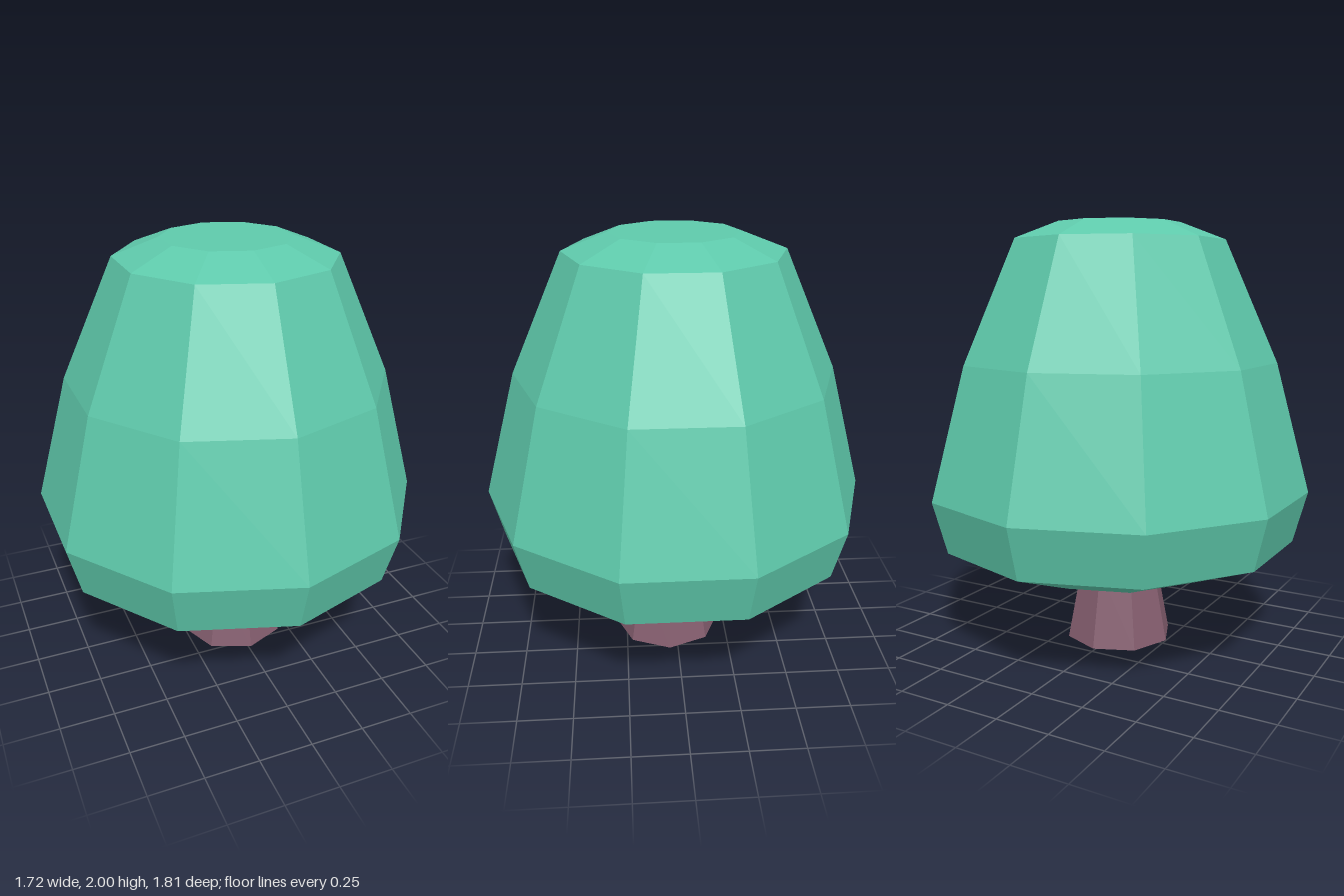
import * as THREE from 'three';

// Faceted solid of revolution from [radius, y] pairs listed bottom to top
function facetedLathe(name, profile, sides, material) {
  const points = profile.map(([r, y]) => new THREE.Vector2(r, y));
  const mesh = new THREE.Mesh(new THREE.LatheGeometry(points, sides), material);
  mesh.name = name;
  return mesh;
}

export function createModel() {
  const leafGreen = new THREE.MeshStandardMaterial({ color: 0x5ec9ab, flatShading: true });
  leafGreen.name = 'leaf green';
  const barkBrown = new THREE.MeshStandardMaterial({ color: 0x865f70, flatShading: true });
  barkBrown.name = 'bark brown';

  const tree = new THREE.Group();
  tree.name = 'tree';

  // Ten-sided crown, with a flat top and an undercut base
  tree.add(facetedLathe('crown', [
    [0.455, 0.375], [0.84, 0.525], [0.905, 0.765], [0.745, 1.365],
    [0.5, 1.92], [0.293, 2], [0, 2],
  ], 10, leafGreen));

  // Bark-coloured underside closing the crown
  tree.add(facetedLathe('crownUnderside', [
    [0, 0.36], [0.2, 0.362], [0.455, 0.375],
  ], 10, barkBrown));

  // Eight-sided tapering trunk, slightly off centre
  const trunk = facetedLathe('trunk', [
    [0, 0], [0.26, 0], [0.19, 0.365],
  ], 8, barkBrown);
  trunk.position.set(0.012, 0, 0.04);
  tree.add(trunk);

  return tree;
}
